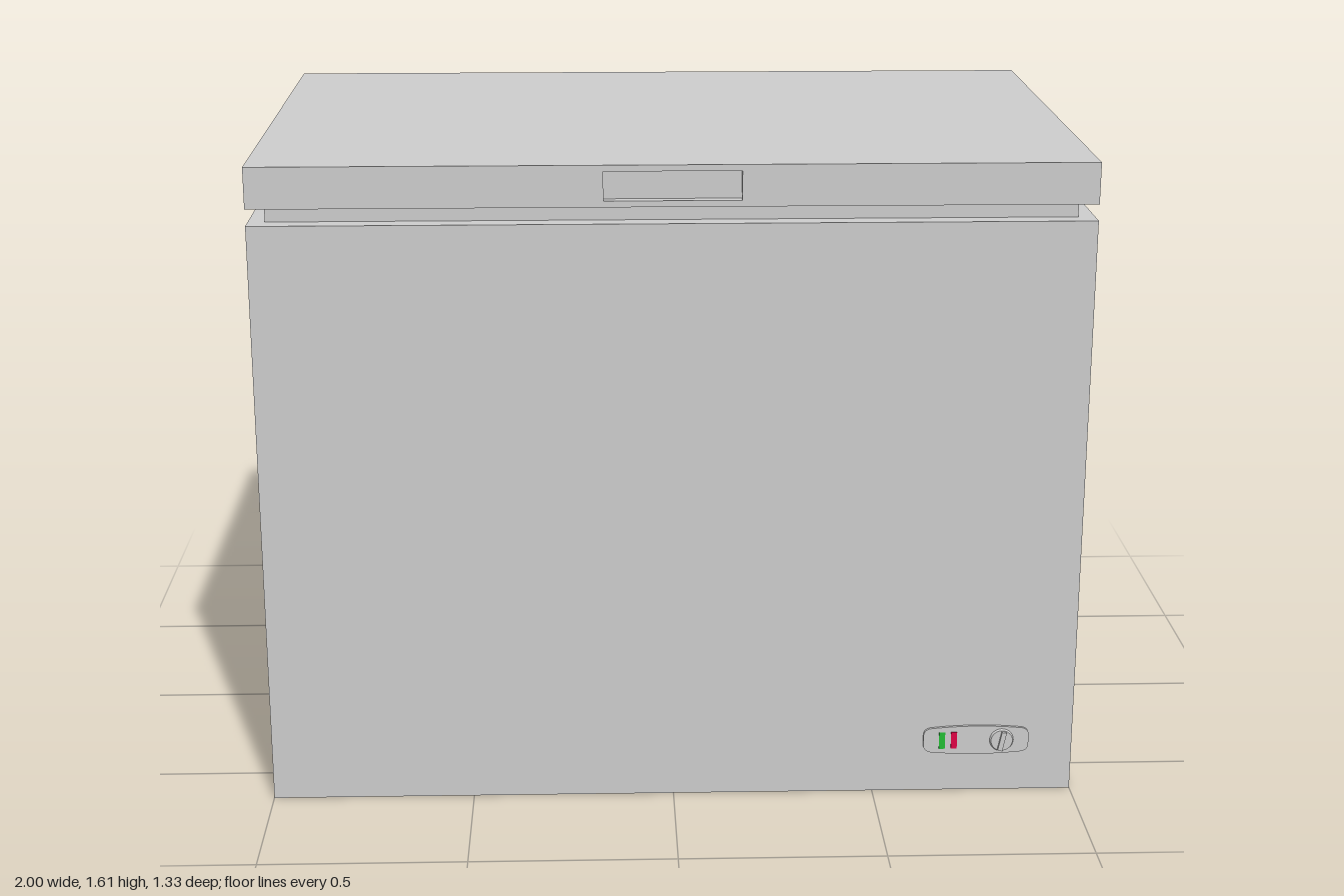
import * as THREE from 'three';

const grey = new THREE.MeshStandardMaterial({ color: 0xcccccc });
const green = new THREE.MeshStandardMaterial({ color: 0x22bb33 });
const red = new THREE.MeshStandardMaterial({ color: 0xdd0044 });

const BACK = -0.66, FRONT = 0.645;

function add(parent, name, geometry, material = grey) {
  const mesh = new THREE.Mesh(geometry, material);
  mesh.name = name;
  parent.add(mesh);
  return mesh;
}

// Box given by its minimum and maximum corners
function box(parent, name, [x0, y0, z0], [x1, y1, z1], material) {
  const mesh = add(parent, name, new THREE.BoxGeometry(x1 - x0, y1 - y0, z1 - z0), material);
  mesh.position.set((x0 + x1) / 2, (y0 + y1) / 2, (z0 + z1) / 2);
  return mesh;
}

function rectangle(path, x0, y0, x1, y1) {
  path.moveTo(x0, y0);
  path.lineTo(x1, y0);
  path.lineTo(x1, y1);
  path.lineTo(x0, y1);
  path.closePath();
  return path;
}

function createLid() {
  const lid = new THREE.Group();
  lid.name = 'lid';
  const recess = 0.025, y0 = 1.505, y1 = 1.605;
  box(lid, 'lidSlab', [-1, y0, BACK], [1, y1, FRONT - recess]);

  // Front layer with the opening of the grip recess
  const face = rectangle(new THREE.Shape(), -1, y0, 1, y1);
  face.holes.push(rectangle(new THREE.Path(), -0.165, 1.52, 0.16, 1.59));
  const front = new THREE.ExtrudeGeometry(face, { depth: recess, bevelEnabled: false });
  add(lid, 'lidFront', front).position.z = FRONT - recess;
  return lid;
}

function createControlPanel() {
  const panel = new THREE.Group();
  panel.name = 'controlPanel';

  // Plate with rounded ends and gently bowed long edges
  const s = new THREE.Shape();
  s.moveTo(-0.115, -0.032);
  s.quadraticCurveTo(0, -0.044, 0.115, -0.032);
  s.quadraticCurveTo(0.132, -0.028, 0.132, -0.012);
  s.lineTo(0.132, 0.012);
  s.quadraticCurveTo(0.132, 0.028, 0.115, 0.032);
  s.quadraticCurveTo(0, 0.044, -0.115, 0.032);
  s.quadraticCurveTo(-0.132, 0.028, -0.132, 0.012);
  s.lineTo(-0.132, -0.012);
  s.quadraticCurveTo(-0.132, -0.028, -0.115, -0.032);
  add(panel, 'panelPlate', new THREE.ExtrudeGeometry(s, { depth: 0.007, bevelEnabled: false }));

  // Indicator lamps
  box(panel, 'greenLamp', [-0.093, -0.022, 0.005], [-0.078, 0.022, 0.009], green);
  box(panel, 'redLamp', [-0.063, -0.022, 0.005], [-0.048, 0.022, 0.009], red);

  // Thermostat dial with a grip bar
  const dial = new THREE.Group();
  dial.name = 'thermostatDial';
  dial.position.set(0.064, 0, 0.007);
  const disc = add(dial, 'dialDisc', new THREE.CylinderGeometry(0.027, 0.03, 0.006, 32));
  disc.rotation.x = Math.PI / 2;
  disc.position.z = 0.003;
  box(dial, 'dialGrip', [-0.006, -0.025, 0.005], [0.006, 0.025, 0.014]).rotation.z = -0.2;
  panel.add(dial);

  panel.position.set(0.758, 0.138, FRONT);
  return panel;
}

export function createModel() {
  const model = new THREE.Group();
  model.name = 'chestFreezer';
  box(model, 'cabinet', [-1, 0, BACK], [1, 1.465, FRONT]);
  box(model, 'lidSeal', [-0.96, 1.465, -0.59], [0.96, 1.505, 0.6]);
  model.add(createLid(), createControlPanel());
  return model;
}
